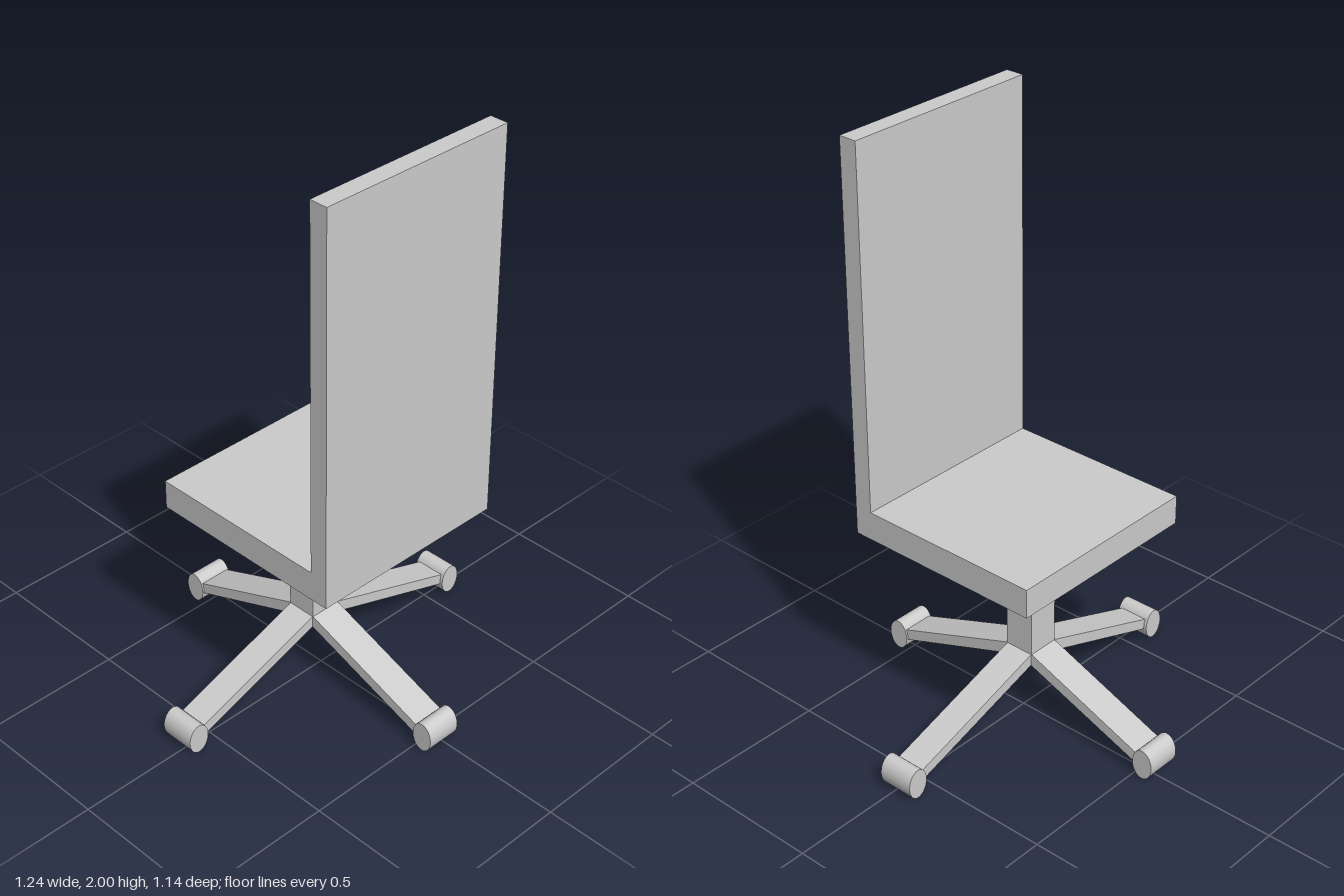
import * as THREE from 'three';

const material = new THREE.MeshStandardMaterial({ color: 0xcccccc });

function part(name, geometry, parent) {
  const mesh = new THREE.Mesh(geometry, material);
  mesh.name = name;
  parent.add(mesh);
  return mesh;
}

// Closed outline extruded by width, centred on its own plane
function slab(points, width) {
  const shape = new THREE.Shape(points.map(([x, y]) => new THREE.Vector2(x, y)));
  const geometry = new THREE.ExtrudeGeometry(shape, { depth: width, bevelEnabled: false });
  return geometry.translate(0, 0, -width / 2);
}

// Box whose bottom face is replaced by a smaller rectangle
function taperedBlock(top, bottom, y0, y1) {
  const geometry = new THREE.BoxGeometry(1, 1, 1).toNonIndexed();
  const p = geometry.attributes.position;
  for (let i = 0; i < p.count; i++) {
    const r = p.getY(i) > 0 ? top : bottom;
    p.setXYZ(i, p.getX(i) > 0 ? r.x1 : r.x0, p.getY(i) > 0 ? y1 : y0, p.getZ(i) > 0 ? r.z1 : r.z0);
  }
  geometry.computeVertexNormals();
  return geometry;
}

export function createModel() {
  const chair = new THREE.Group();
  chair.name = 'swivelChair';

  // Seat and backrest share one L-shaped side profile (z, y)
  const profile = [[-0.315, 0.66], [0.4, 0.66], [0.4, 2], [0.336, 2], [0.336, 0.76], [-0.315, 0.76]];
  const seat = part('seatAndBackrest', slab(profile, 0.713).rotateY(-Math.PI / 2), chair);
  seat.position.x = -0.0165;

  // Sloped pan under the seat
  part('seatPan', taperedBlock(
    { x0: -0.373, x1: 0.34, z0: -0.312, z1: 0.28 },
    { x0: -0.148, x1: 0.124, z0: -0.095, z1: 0.06 }, 0.593, 0.66), chair);

  // Base: square column with four sloping arms and rollers
  const base = new THREE.Group();
  base.name = 'base';
  base.position.set(-0.017, 0, -0.016);
  chair.add(base);

  const column = part('column', new THREE.BoxGeometry(0.112, 0.38, 0.106), base);
  column.position.y = 0.41;

  // Reach differs slightly from arm to arm: +x, -z, -x, +z
  [0.596, 0.52, 0.566, 0.548].forEach((reach, i) => {
    const leg = new THREE.Group();
    leg.name = 'leg' + (i + 1);
    leg.rotation.y = i * Math.PI / 2;
    base.add(leg);

    const end = reach - 0.025;
    const outline = [[0, 0.226], [end - 0.012, 0.045], [end, 0.08], [0.054, 0.25], [0, 0.25]];
    part('arm', slab(outline, i % 2 ? 0.112 : 0.102), leg);

    const roller = part('roller', new THREE.CylinderGeometry(1, 1, 0.124, 32).rotateX(Math.PI / 2)
      .scale(0.038, 0.053, 1), leg);
    roller.position.set(reach, 0.053, 0);
  });

  return chair;
}
